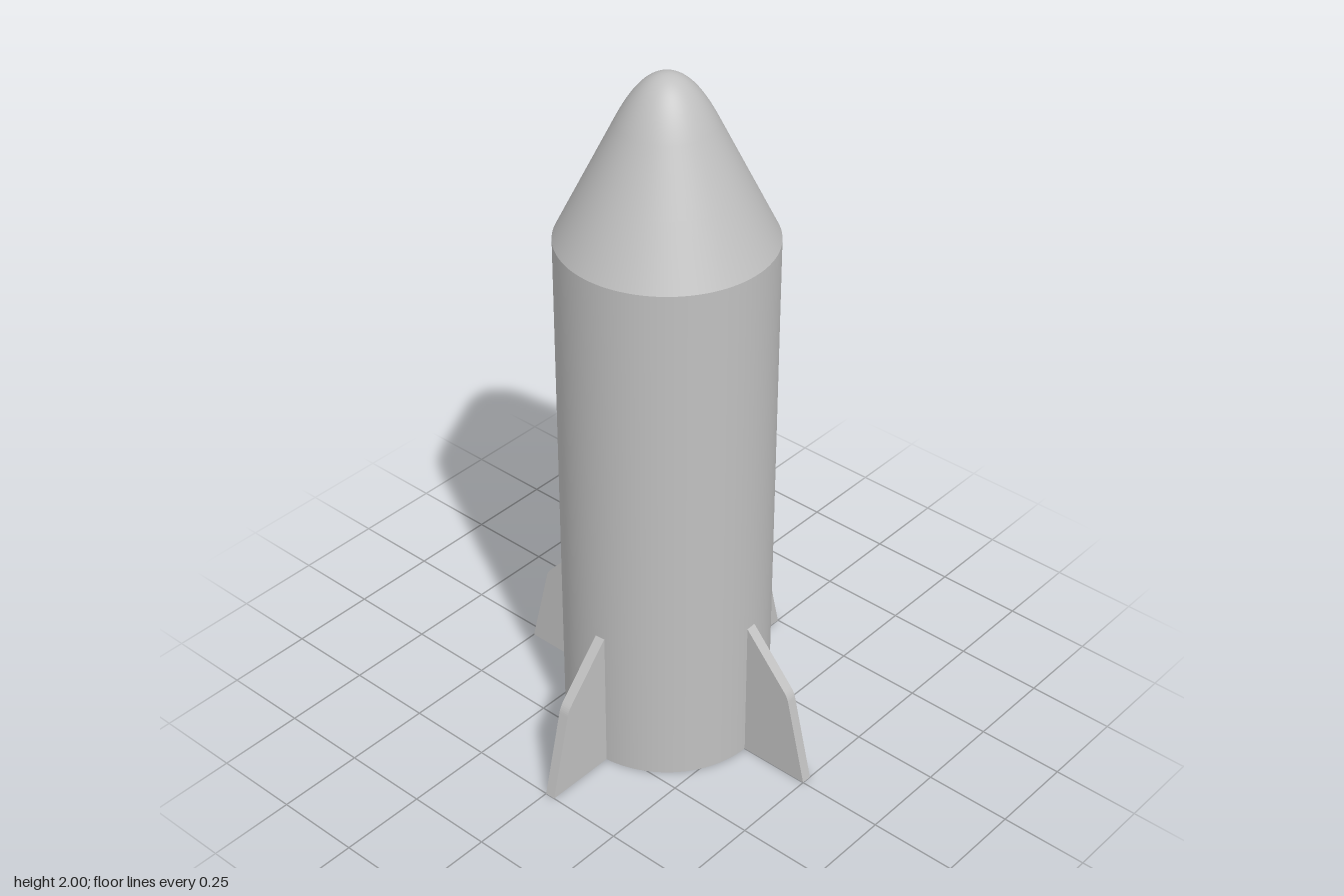
import * as THREE from 'three';

const R = 0.29, BORE = 0.18, SHOULDER = 1.545;

export function createModel() {
  const model = new THREE.Group();
  model.name = 'rocket';
  const grey = new THREE.MeshStandardMaterial({ color: 0xc0c0c0 });
  grey.name = 'light grey';

  const add = (name, geometry) => {
    const mesh = new THREE.Mesh(geometry, grey);
    mesh.name = name;
    model.add(mesh);
    return mesh;
  };
  // Each section is its own lathe, so the edges between them stay sharp
  const turn = (name, points) =>
    add(name, new THREE.LatheGeometry(points.map(p => new THREE.Vector2(...p)), 96));

  // Hollow body tube
  turn('boreCeiling', [[0, SHOULDER - 0.02], [BORE, SHOULDER - 0.02]]);
  turn('boreWall', [[BORE, SHOULDER - 0.02], [BORE, 0]]);
  turn('bottomRing', [[BORE, 0], [R, 0]]);
  turn('body', [[R, 0], [R, SHOULDER]]);

  // Conical nose with a rounded tip
  const tip = new THREE.CubicBezierCurve(
    new THREE.Vector2(0.13, 1.87), new THREE.Vector2(0.09, 1.95),
    new THREE.Vector2(0.05, 2), new THREE.Vector2(0, 2));
  turn('nose', [[R, SHOULDER], [0.21, 1.7075], ...tip.getPoints(20).map(p => [p.x, p.y])]);

  // Four fins, each with one face on the centre plane
  const outline = new THREE.Shape();
  outline.moveTo(0.27, 0);
  outline.lineTo(0.5, 0);
  outline.lineTo(0.438, 0.253);
  outline.quadraticCurveTo(0.434, 0.27, 0.422, 0.283);
  outline.lineTo(R, 0.43);
  outline.lineTo(0.27, 0.43);
  const finGeometry = new THREE.ExtrudeGeometry(outline, { depth: 0.03, bevelEnabled: false, curveSegments: 6 });
  finGeometry.translate(0, 0, -0.03);
  ['leftFin', 'frontFin', 'rightFin', 'backFin'].forEach((name, i) => {
    add(name, finGeometry).rotation.y = -i * Math.PI / 2;
  });

  return model;
}
